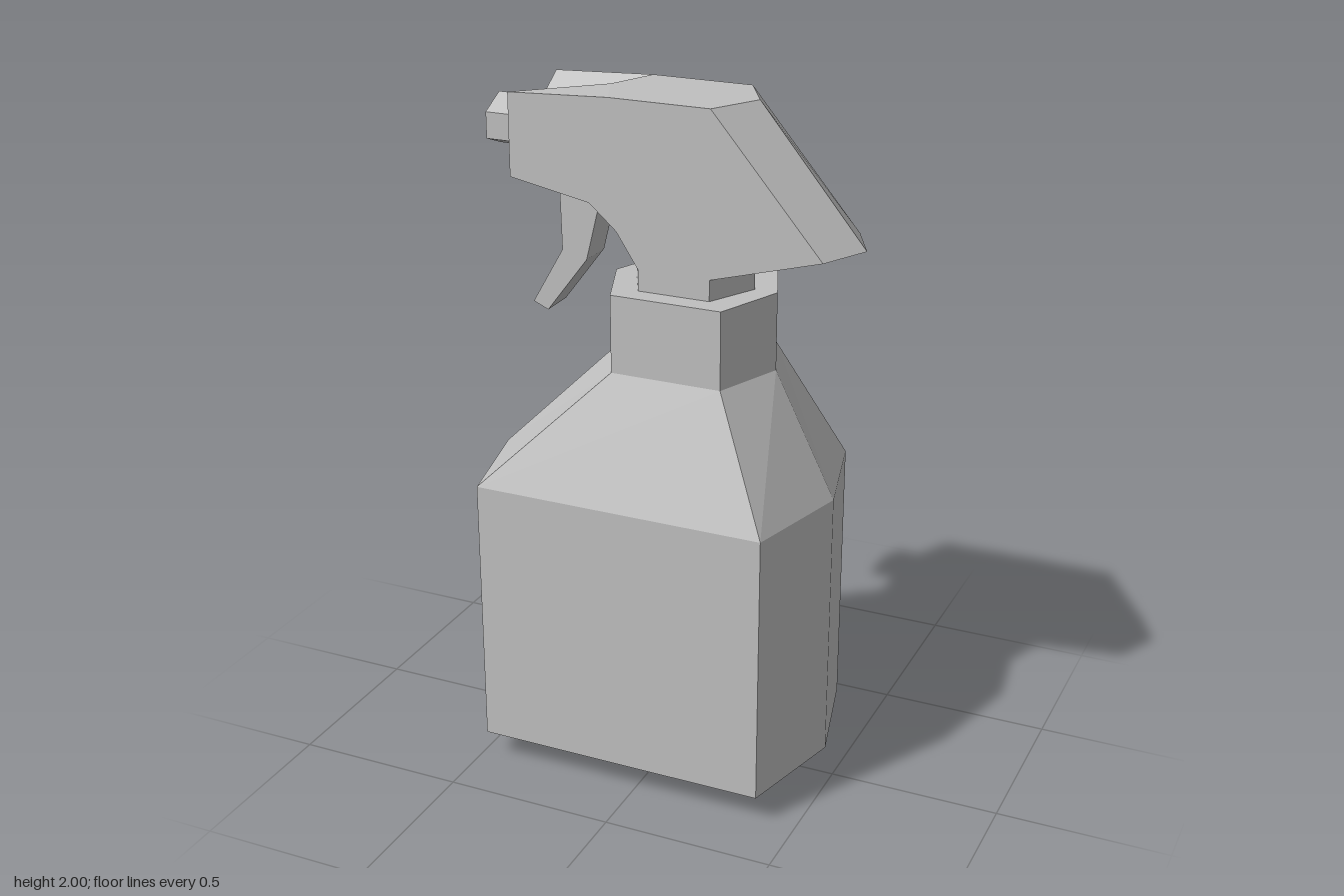
import * as THREE from 'three';

// Flat-faced solid through counter-clockwise outlines [x, y], each at its own z, capped at both ends.
function loft(layers) {
  const pos = [];
  const rings = layers.map(([z, pts]) => pts.map(([x, y]) => [x, y, z]));
  const tri = (a, b, c) => pos.push(...a, ...b, ...c);
  for (let k = 0; k < rings.length - 1; k++) {
    const lo = rings[k], hi = rings[k + 1], n = lo.length;
    for (let i = 0; i < n; i++) {
      const j = (i + 1) % n;
      tri(lo[i], lo[j], hi[j]);
      tri(lo[i], hi[j], hi[i]);
    }
  }
  const cap = (ring, flip) => {
    const flat = ring.map(([x, y]) => new THREE.Vector2(x, y));
    for (const [a, b, c] of THREE.ShapeUtils.triangulateShape(flat, [])) {
      if (flip) tri(ring[a], ring[c], ring[b]);
      else tri(ring[a], ring[b], ring[c]);
    }
  };
  cap(rings[0], true);
  cap(rings[rings.length - 1], false);
  const g = new THREE.BufferGeometry();
  g.setAttribute('position', new THREE.Float32BufferAttribute(pos, 3));
  g.computeVertexNormals();
  return g;
}

// Six-sided ring with pointed left and right ends
const hex = (tipA, cornerA, cornerB, tipB, d) => [
  [tipA, 0], [cornerA, -d], [cornerB, -d], [tipB, 0], [cornerB, d], [cornerA, d],
];

export function createModel() {
  const model = new THREE.Group();
  const grey = new THREE.MeshStandardMaterial({ color: 0xc0c0c0, flatShading: true });
  grey.name = 'grey plastic';
  const add = (name, geometry) => {
    const mesh = new THREE.Mesh(geometry, grey);
    mesh.name = name;
    model.add(mesh);
  };

  // Bottle: chamfered foot, straight walls and sloping shoulders
  const wall = hex(-0.555, -0.475, 0.39, 0.475, 0.333);
  const neck = hex(-0.19, -0.11, 0.215, 0.295, 0.205);
  add('bottle', loft([
    [0, hex(-0.47, -0.41, 0.335, 0.39, 0.2)],
    [0.085, wall], [0.89, wall], [1.25, neck],
  ]).rotateX(-Math.PI / 2));

  // Screw collar
  add('collar', loft([[1.25, neck], [1.475, neck]]).rotateX(-Math.PI / 2));

  // Spray head: flat sides, ridged back and stem, dipped front
  const side = [
    [-0.44, 1.985], [-0.44, 1.75], [-0.2, 1.705], [-0.12, 1.635], [-0.055, 1.535], [-0.055, 1.47],
    [0.155, 1.47], [0.155, 1.535], [0.475, 1.625], [0.155, 2], [-0.14, 2],
  ];
  const middle = [
    [-0.44, 1.89], [-0.44, 1.75], [-0.2, 1.7], [-0.16, 1.635], [-0.127, 1.535], [-0.127, 1.47],
    [0.228, 1.47], [0.228, 1.535], [0.545, 1.625], [0.235, 2], [-0.2, 2],
  ];
  add('sprayHead', loft([[-0.143, side], [0, middle], [0.143, side]]));

  // Nozzle: six-sided bar along x
  const bar = [[0, 1.8], [0.08, 1.83], [0.08, 1.905], [0, 1.945], [-0.08, 1.905], [-0.08, 1.83]];
  add('nozzle', loft([[-0.545, bar], [-0.36, bar]]).rotateY(Math.PI / 2));

  // Trigger lever
  const lever = [
    [-0.335, 1.735], [-0.33, 1.53], [-0.425, 1.365], [-0.38, 1.345], [-0.255, 1.51], [-0.205, 1.71],
  ];
  add('trigger', loft([[-0.055, lever], [0.055, lever]]));

  return model;
}
